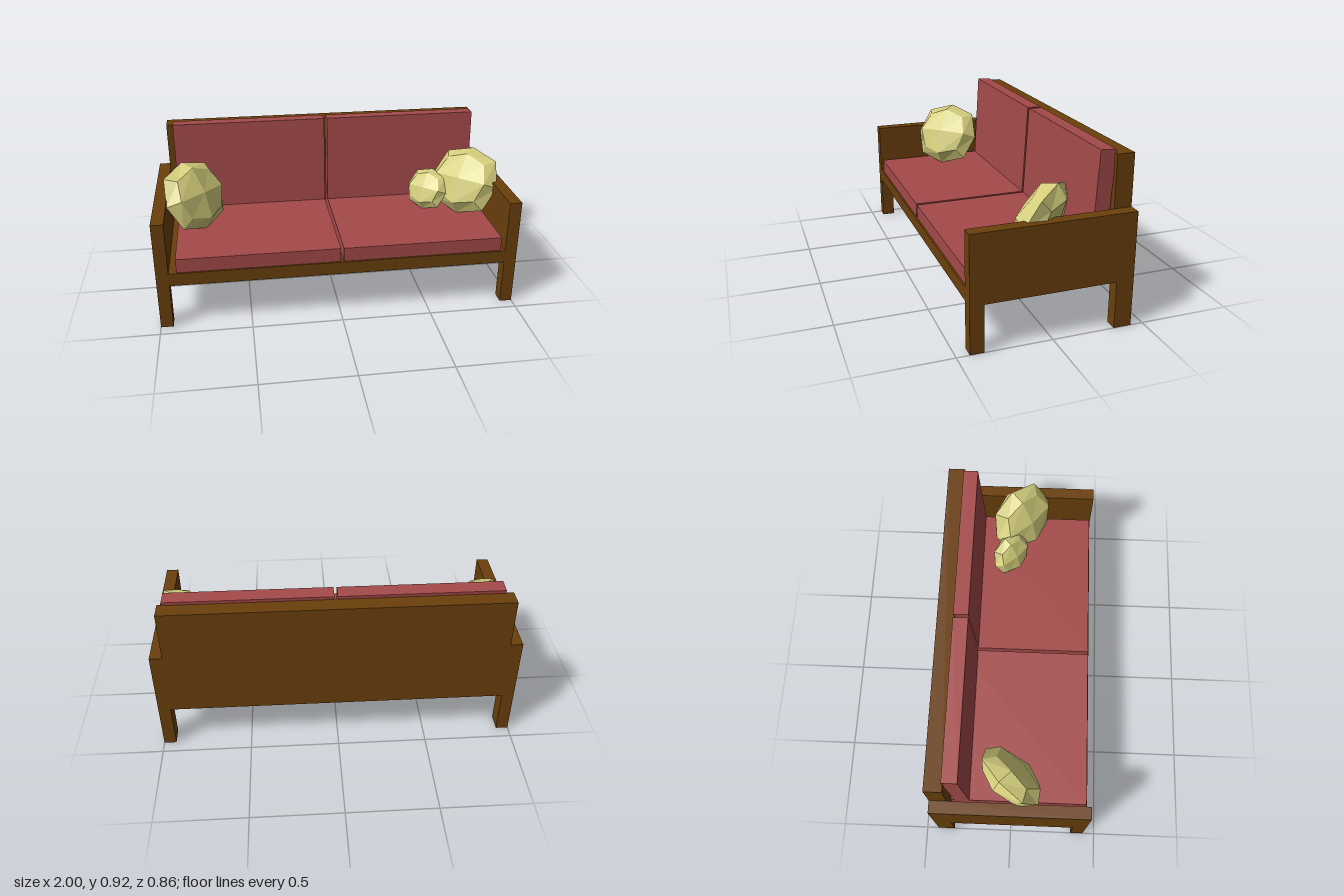
import * as THREE from 'three';

const material = (name, color) => {
  const m = new THREE.MeshStandardMaterial({ color });
  m.name = name;
  return m;
};

// Pillow: a box of 2 x 2 quads per side, rounded by drawing in its edges and corners
function pillowGeometry(width, height, depth) {
  const geo = new THREE.BoxGeometry(2, 2, 2, 2, 2, 2).toNonIndexed();
  const p = geo.attributes.position;
  const v = new THREE.Vector3();
  const pull = [1, 1, 0.75, 0.556]; // by number of non-zero coordinates
  for (let i = 0; i < p.count; i++) {
    v.fromBufferAttribute(p, i);
    const n = v.toArray().filter((c) => Math.abs(c) > 0.5).length;
    v.multiplyScalar(pull[n]);
    p.setXYZ(i, v.x * width / 2, v.y * height / 2, v.z * depth / 2);
  }
  geo.computeVertexNormals();
  return geo;
}

export function createModel() {
  const sofa = new THREE.Group();
  sofa.name = 'sofa';
  const wood = material('brown wood', 0x6b400c);
  const fabric = material('red fabric', 0xa54a4a);
  const linen = material('yellow linen', 0xd4ce7c);
  linen.flatShading = true;

  // Box given by its limits on each axis
  const box = (name, mat, [x0, x1], [y0, y1], [z0, z1]) => {
    const mesh = new THREE.Mesh(new THREE.BoxGeometry(x1 - x0, y1 - y0, z1 - z0), mat);
    mesh.position.set((x0 + x1) / 2, (y0 + y1) / 2, (z0 + z1) / 2);
    mesh.name = name;
    sofa.add(mesh);
    return mesh;
  };

  // Wooden frame
  box('seatBase', wood, [-0.932, 0.932], [0.257, 0.33], [-0.34, 0.432]);
  box('backPanel', wood, [-0.932, 0.932], [0.257, 0.902], [-0.432, -0.337]);
  for (const [side, x] of [['right', [-1, -0.932]], ['left', [0.932, 1]]]) {
    box(side + 'Arm', wood, x, [0.257, 0.623], [-0.432, 0.432]);
    box(side + 'FrontLeg', wood, x, [0, 0.257], [0.358, 0.432]);
    box(side + 'BackLeg', wood, x, [0, 0.257], [-0.432, -0.337]);
  }

  // Seat cushions and the back cushions leaning on the panel
  for (const [side, x] of [['right', [-0.89, -0.002]], ['left', [0.015, 0.908]]]) {
    box(side + 'SeatCushion', fabric, x, [0.33, 0.41], [-0.335, 0.423]);
    const back = box(side + 'BackCushion', fabric, x, [0.4075, 0.9225], [-0.3295, -0.2465]);
    back.rotation.x = -0.056;
  }

  // Throw pillows, turned inward and leaning back
  const pillowGeo = pillowGeometry(0.42, 0.4, 0.2);
  const pillows = [
    ['rightPillow', -0.785, 0.588, 0, 1, Math.PI / 4],
    ['leftPillow', 0.81, 0.588, 0, 1, -Math.PI / 4],
    ['smallPillow', 0.598, 0.52, -0.06, 0.62, -Math.PI / 4],
  ];
  for (const [name, x, y, z, scale, yaw] of pillows) {
    const pillow = new THREE.Mesh(pillowGeo, linen);
    pillow.name = name;
    pillow.position.set(x, y, z);
    pillow.rotation.set(-0.45, yaw, 0, 'YXZ');
    pillow.scale.setScalar(scale);
    sofa.add(pillow);
  }
  return sofa;
}
